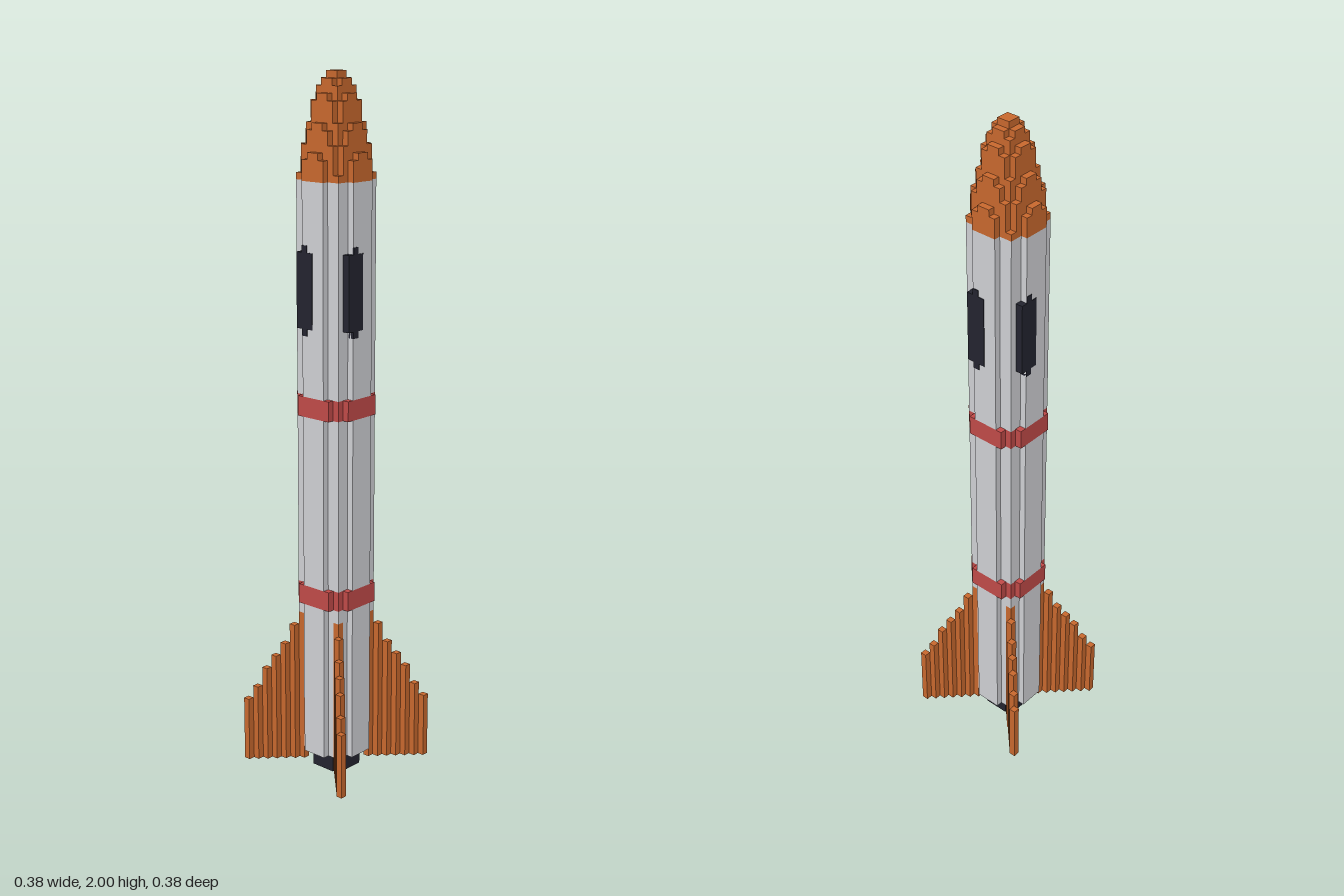
import * as THREE from 'three';
import { mergeGeometries } from 'three/addons/utils/BufferGeometryUtils.js';

const V = 2 / 105; // size of one block

const material = (name, color) => {
  const m = new THREE.MeshStandardMaterial({ color });
  m.name = name;
  return m;
};

// Stair-stepped disc outline: blocks whose centres lie within the radius
function discPoints(radius) {
  const halves = [];
  for (let row = 0; row + 0.5 < radius; row++) {
    const n = Math.floor(Math.sqrt(radius ** 2 - (row + 0.5) ** 2) + 0.5);
    if (n > 0) halves.push(n);
  }
  const quarter = [];
  halves.forEach((n, row) => {
    if (row === 0 || n !== halves[row - 1]) {
      if (row > 0) quarter.push([halves[row - 1], row]);
      quarter.push([n, row]);
    }
  });
  const last = halves.length;
  quarter.push([halves[last - 1], last]);
  quarter.shift(); // the point on the axis is not a corner
  const flip = (sx, sy) => quarter.map(([x, y]) => new THREE.Vector2(sx * x * V, sy * y * V));
  return [...flip(1, 1), ...flip(-1, 1).reverse(), ...flip(-1, -1), ...flip(1, -1).reverse()];
}

// Upright slab of blocks from layer y0 to layer y1, optionally hollow
function slab(radius, y0, y1, hole) {
  const shape = new THREE.Shape(discPoints(radius));
  if (hole) shape.holes.push(new THREE.Path(discPoints(hole)));
  return new THREE.ExtrudeGeometry(shape, { depth: (y1 - y0) * V, bevelEnabled: false })
    .rotateX(-Math.PI / 2)
    .translate(0, y0 * V, 0);
}

// Box given by its limits, in blocks
function block(x0, x1, y0, y1, z0, z1) {
  return new THREE.BoxGeometry((x1 - x0) * V, (y1 - y0) * V, (z1 - z0) * V)
    .translate((x0 + x1) * V / 2, (y0 + y1) * V / 2, (z0 + z1) * V / 2);
}

export function createModel() {
  const group = new THREE.Group();
  const white = material('hullWhite', 0xcfd0d4);
  const orange = material('burntOrange', 0xc8682e);
  const red = material('bandRed', 0xc04a48);
  const dark = material('darkNavy', 0x23242f);

  const add = (name, parts, mat) => {
    const mesh = new THREE.Mesh(mergeGeometries(parts), mat);
    mesh.name = name;
    group.add(mesh);
    return mesh;
  };

  // Engine nozzle, open in the middle
  add('nozzle', [slab(3, 0, 3, 1)], dark);

  // Hull; the lowest section leaves its corners free for the fins
  add('hull', [
    slab(4.9, 3, 25), slab(5.1, 25, 27), slab(5.1, 30, 56), slab(5.1, 59, 90),
  ], white);

  // Slightly wider painted bands
  add('lowerBand', [slab(5.3, 27, 30)], red);
  add('upperBand', [slab(5.3, 56, 59)], red);

  // Nose cone with a parabolic taper
  const layers = [];
  for (let i = 0; i < 15; i++) {
    layers.push(slab(5.1 * Math.sqrt(1 - i / 15), 90 + i, 91 + i));
  }
  add('noseCone', layers, orange);

  // Four windows and four diagonal fins, repeated by quarter turns
  const finTops = [25, 23, 20, 18, 16, 13, 11];
  for (let q = 0; q < 4; q++) {
    const turn = q * Math.PI / 2;
    add('window', [
      block(-3, -2, 69, 80, 4, 5.1),
      block(-2, -1, 68, 81, 4, 5.1),
      block(-1, 0, 69, 80, 4, 5.1),
    ], dark).rotation.y = turn;
    add('fin', finTops.map((top, i) => block(3 + i, 4 + i, 1, top, 3 + i, 4 + i)), orange)
      .rotation.y = turn;
  }

  return group;
}
